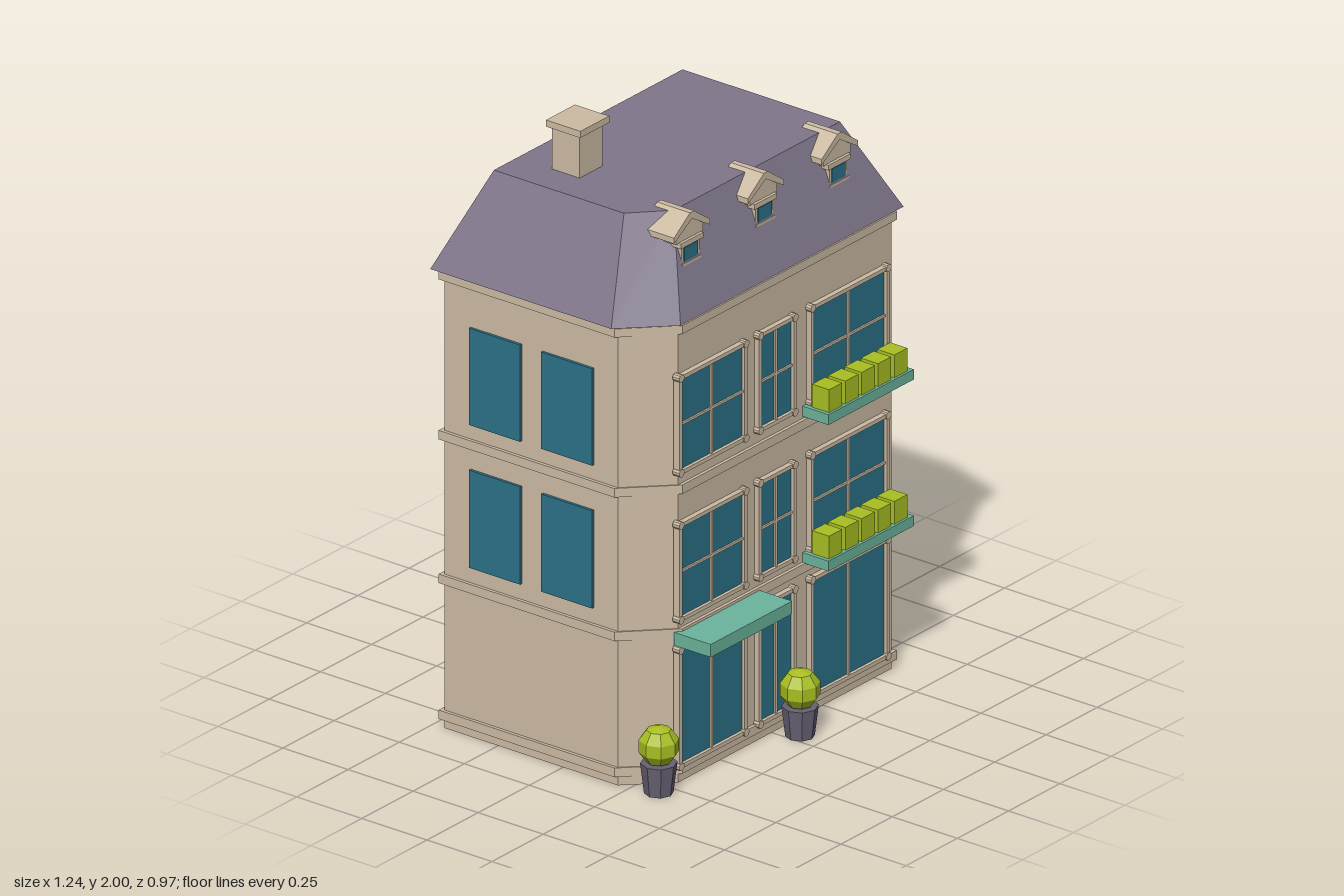
import * as THREE from 'three';

const mat = (name, color, extra = {}) => {
  const m = new THREE.MeshStandardMaterial({ color, flatShading: true, ...extra });
  m.name = name;
  return m;
};

export function createModel() {
  const stone = mat('stone', 0xccbba3);
  const slate = mat('slate', 0x7f768a);
  const glass = mat('glass', 0x2b7187);
  const teal = mat('teal', 0x6bb39c);
  const leaf = mat('leaf', 0xa8be22);
  const potGrey = mat('potGrey', 0x676072);

  const model = new THREE.Group();
  model.name = 'townHouse';

  const add = (parent, name, geo, material) => {
    const m = new THREE.Mesh(geo, material);
    m.name = name;
    parent.add(m);
    return m;
  };
  const group = (name, parent = model) => {
    const g = new THREE.Group();
    g.name = name;
    parent.add(g);
    return g;
  };
  // Box given by its limits on each axis
  const box = (parent, name, material, x0, x1, y0, y1, z0, z1) => {
    const g = new THREE.BoxGeometry(x1 - x0, y1 - y0, z1 - z0);
    g.translate((x0 + x1) / 2, (y0 + y1) / 2, (z0 + z1) / 2);
    return add(parent, name, g, material);
  };
  // Rectangle in plan with the corner at -x, +z cut off, counter-clockwise from above
  const plan = (w, front, back, cutX, cutZ) =>
    [[cutX, front], [w, front], [w, back], [-w, back], [-w, cutZ]];
  const prism = (name, pts, y0, y1) => {
    const shape = new THREE.Shape(pts.map(([x, z]) => new THREE.Vector2(x, -z)));
    const g = new THREE.ExtrudeGeometry(shape, { depth: y1 - y0, bevelEnabled: false });
    g.rotateX(-Math.PI / 2).translate(0, y0, 0);
    return add(model, name, g, stone);
  };

  // Walls and storey bands
  prism('walls', plan(0.585, 0.34, -0.457, -0.456, 0.21), 0, 1.54);
  for (const [y0, y1] of [[0.03, 0.06], [0.482, 0.512], [0.96, 0.99], [1.492, 1.52]])
    prism('storeyBand', plan(0.596, 0.351, -0.47, -0.45, 0.205), y0, y1);

  // Hipped roof: eaves ring joined to a smaller top ring, both capped
  const ring = (pts, y) => pts.map(([x, z]) => [x, y, z]);
  const low = ring(plan(0.618, 0.36, -0.485, -0.47, 0.21), 1.53);
  const top = ring(plan(0.46, 0.24, -0.365, -0.35, 0.135), 1.836);
  const tris = [];
  for (let i = 0; i < 5; i++) {
    const j = (i + 1) % 5;
    tris.push(low[i], low[j], top[j], low[i], top[j], top[i]);
    if (i > 0 && i < 4) tris.push(top[0], top[i], top[j], low[0], low[j], low[i]);
  }
  const roofGeo = new THREE.BufferGeometry();
  roofGeo.setAttribute('position', new THREE.Float32BufferAttribute(tris.flat(), 3));
  roofGeo.computeVertexNormals();
  add(model, 'roof', roofGeo, slate);

  // Chimney
  const chimney = group('chimney');
  box(chimney, 'chimneyShaft', stone, -0.345, -0.233, 1.8, 1.98, -0.232, -0.126);
  box(chimney, 'chimneyCap', stone, -0.358, -0.217, 1.978, 2, -0.245, -0.113);

  // Dormers
  const extrudeZ = (pts, z0, z1) => {
    const s = new THREE.Shape(pts.map(([x, y]) => new THREE.Vector2(x, y)));
    return new THREE.ExtrudeGeometry(s, { depth: z1 - z0, bevelEnabled: false }).translate(0, 0, z0);
  };
  for (const x of [-0.34, 0.02, 0.38]) {
    const d = group('dormer');
    box(d, 'dormerWall', stone, -0.043, 0.043, 1.678, 1.757, 0.2, 0.296);
    box(d, 'dormerLintel', stone, -0.055, 0.055, 1.74, 1.757, 0.22, 0.302);
    box(d, 'dormerSill', stone, -0.047, 0.047, 1.675, 1.686, 0.24, 0.302);
    box(d, 'dormerGlass', glass, -0.033, 0.033, 1.69, 1.736, 0.294, 0.299);
    add(d, 'dormerGable', extrudeZ([[-0.066, 1.755], [0.066, 1.755], [0.066, 1.785], [0, 1.83], [-0.066, 1.785]], 0.18, 0.292), stone);
    add(d, 'dormerRoof', extrudeZ([[-0.088, 1.77], [0, 1.823], [0.088, 1.77], [0.088, 1.789], [0.01, 1.845], [-0.01, 1.845], [-0.088, 1.789]], 0.175, 0.302), stone);
    d.position.x = x;
  }

  // Front windows: three columns on three storeys
  const columns = [[-0.465, -0.148], [-0.077, 0.092], [0.177, 0.546]];
  const storeys = [[0.06, 0.448], [0.548, 0.862], [1.037, 1.352]];
  const t = 0.013;
  storeys.forEach(([y0, y1], floor) => {
    for (const [x0, x1] of columns) {
      const w = group(floor ? 'window' : 'shopWindow');
      box(w, 'pane', glass, x0, x1, y0, y1, 0.339, 0.347);
      for (const x of [x0, x1]) {
        box(w, 'frameSide', stone, x - t / 2, x + t / 2, y0, y1, 0.335, 0.358);
        for (const y of [y0, y1]) {
          const knob = new THREE.CylinderGeometry(0.013, 0.013, 0.026, 10);
          knob.rotateX(Math.PI / 2).translate(x, y, 0.348);
          add(w, 'cornerKnob', knob, stone);
        }
      }
      for (const y of [y0, y1])
        box(w, 'frameRail', stone, x0, x1, y - t / 2, y + t / 2, 0.335, 0.358);
      const cx = (x0 + x1) / 2, cy = (y0 + y1) / 2;
      box(w, 'mullion', stone, cx - 0.005, cx + 0.005, y0, y1, 0.34, 0.353);
      if (floor) box(w, 'crossbar', stone, x0, x1, cy - 0.004, cy + 0.004, 0.34, 0.353);
    }
  });

  // Plain side windows on the right wall
  for (const [y0, y1] of [[0.565, 0.89], [1.04, 1.362]])
    for (const z of [-0.257, 0.02])
      box(model, 'sideWindow', glass, -0.594, -0.585, y0, y1, z - 0.098, z + 0.098);

  // Awning
  box(model, 'awning', teal, -0.47, -0.073, 0.46, 0.503, 0.335, 0.476);

  // Window boxes with clipped shrubs
  for (const y of [0.51, 0.997]) {
    const b = group('windowBox');
    box(b, 'tray', teal, 0.15, 0.566, y, y + 0.034, 0.335, 0.44);
    for (let i = 0; i < 5; i++) {
      const x = 0.195 + i * 0.0795;
      box(b, 'shrub', leaf, x - 0.032, x + 0.032, y + 0.033, y + 0.11, 0.366, 0.432);
    }
  }

  // Potted bushes
  for (const [x, z] of [[-0.548, 0.338], [0.037, 0.42]]) {
    const p = group('pottedBush');
    add(p, 'pot', new THREE.CylinderGeometry(0.057, 0.045, 0.1, 8).translate(0, 0.05, 0), potGrey);
    add(p, 'bush', new THREE.SphereGeometry(0.065, 8, 5).translate(0, 0.157, 0), leaf);
    p.position.set(x, 0, z);
  }

  return model;
}
